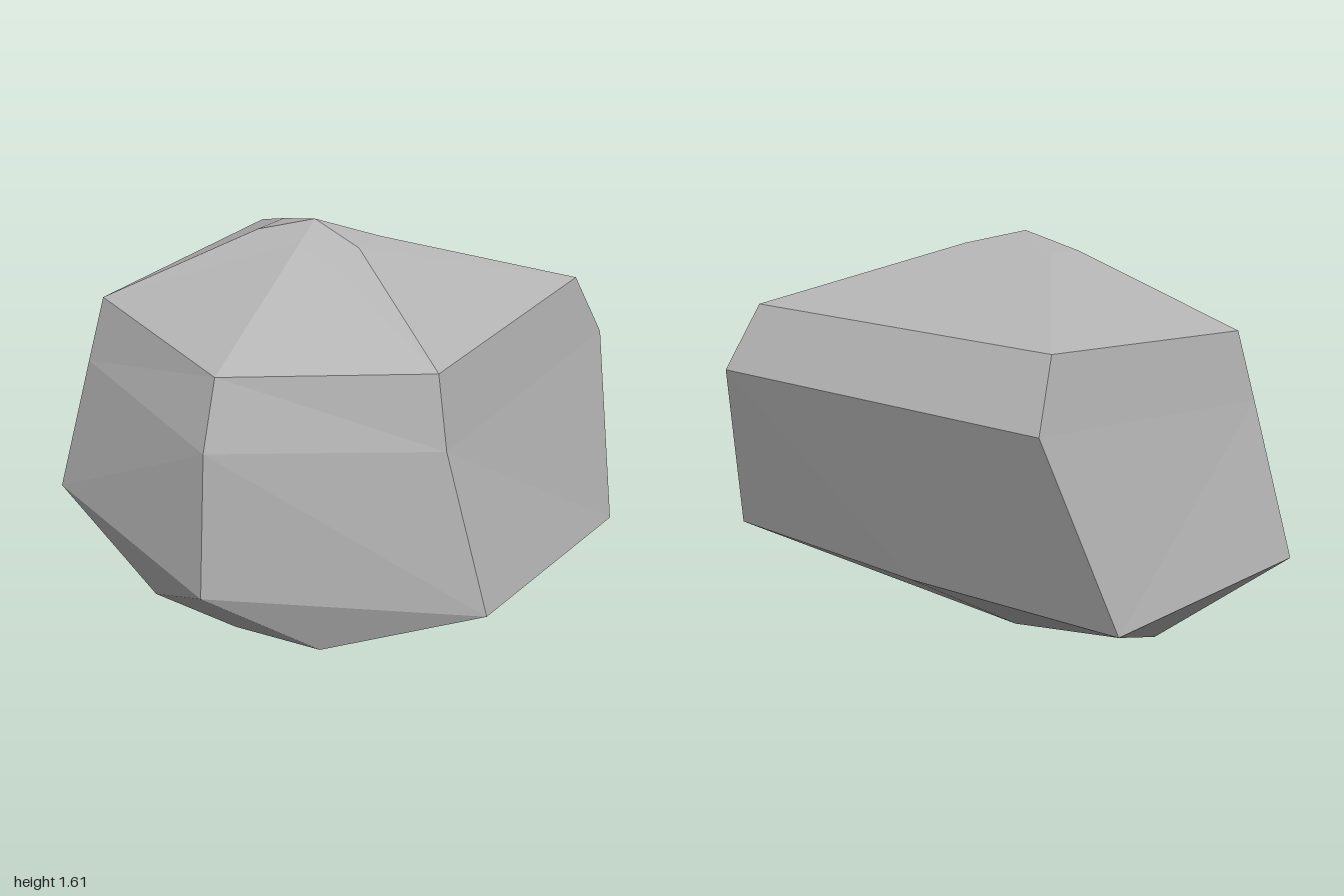
import * as THREE from 'three';

// Half outlines from top to bottom: front centre, front corner, back corner, back centre
const HALF_RINGS = [
  [[0, 1.535, 0.14], [0.23, 1.54, 0.09], [0.22, 1.547, -0.07], [0, 1.547, -0.07]], // crown
  [[0, 1.17, 0.68], [0.755, 1.255, 0.4], [0.755, 1.32, -0.67], [0, 1.32, -0.67]], // shoulder
  [[0, 0.9, 0.76], [0.815, 0.99, 0.435], [0.815, 1.07, -0.8], [0, 1.07, -0.8]], // waist
  [[0, 0.33, 0.8], [1, 0.4, 0.44], [1, 0.37, -0.6], [0, 0.345, -0.6]], // widest
  [[0, 0.115, 0.59], [0.39, 0.14, 0.59], [0.71, 0.135, -0.02], [0, 0.01, -0.02]], // underside
];
const PEAK = [0, 1.605, 0.04];
const FOOT = [0, 0, 0.08];

// Complete a half outline by mirroring its two corners across x = 0
function mirrorRing([front, frontCorner, backCorner, back]) {
  const flip = ([x, y, z]) => [-x, y, z];
  return [front, frontCorner, backCorner, back, flip(backCorner), flip(frontCorner)];
}

function rockGeometry() {
  const rings = HALF_RINGS.map(mirrorRing);
  const positions = [];
  const triangle = (a, b, c) => positions.push(...a, ...b, ...c);
  const top = rings[0];
  const bottom = rings[rings.length - 1];

  for (let i = 0; i < 6; i++) {
    const j = (i + 1) % 6;
    triangle(PEAK, top[i], top[j]);
    // Facets between rings, with diagonals mirrored on the two halves
    for (let r = 0; r < rings.length - 1; r++) {
      const a = rings[r][i], b = rings[r + 1][i];
      const c = rings[r + 1][j], d = rings[r][j];
      if (i < 3) {
        triangle(a, b, c);
        triangle(a, c, d);
      } else {
        triangle(a, b, d);
        triangle(b, c, d);
      }
    }
    triangle(FOOT, bottom[j], bottom[i]);
  }

  const geometry = new THREE.BufferGeometry();
  geometry.setAttribute('position', new THREE.Float32BufferAttribute(positions, 3));
  geometry.computeVertexNormals(); // unshared corners give flat facets
  return geometry;
}

export function createModel() {
  const stone = new THREE.MeshStandardMaterial({ color: 0xb4b4b4 });
  stone.name = 'stoneGrey';
  stone.flatShading = true;

  const rock = new THREE.Mesh(rockGeometry(), stone);
  rock.name = 'rock';

  const model = new THREE.Group();
  model.name = 'boulder';
  model.add(rock);
  return model;
}
